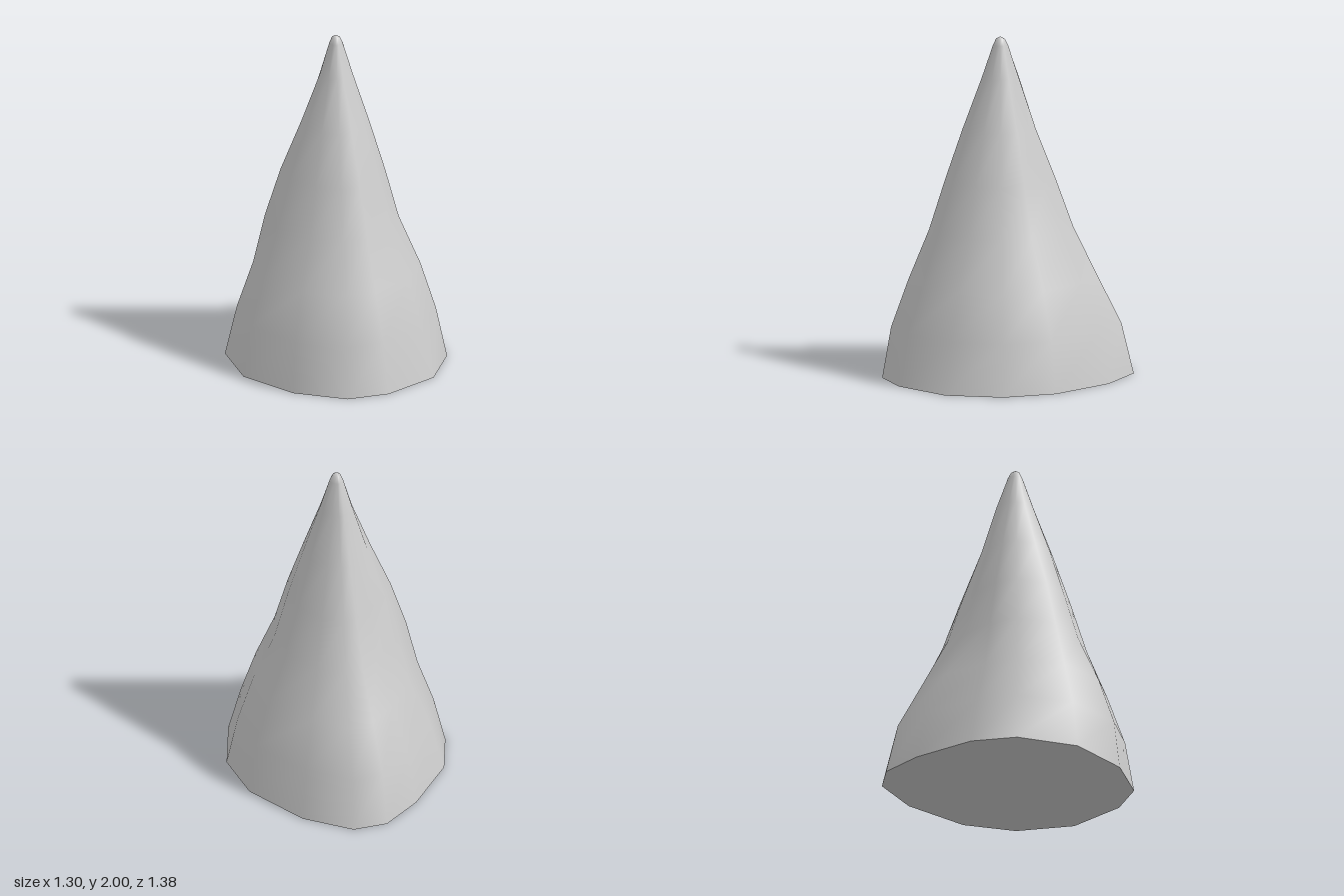
import * as THREE from 'three';

// Base outline (x, z), going round from +x towards +z
const BASE = [
  [0.65, 0.17], [0.5, 0.5], [0.31, 0.66], [-0.02, 0.69], [-0.38, 0.56], [-0.61, 0.27], [-0.65, 0],
  [-0.55, -0.37], [-0.42, -0.605], [-0.24, -0.695], [0.07, -0.64], [0.42, -0.43], [0.6, -0.17],
];

// Reach of each ring in these directions (degrees from +x towards +z)
const ANGLES = [0, 40, 90, 145, 180, 220, 270, 325];
const RINGS = [
  [0, [0.65, 0.695, 0.69, 0.655, 0.65, 0.715, 0.69, 0.59]],
  [0.3, [0.565, 0.63, 0.655, 0.595, 0.565, 0.65, 0.62, 0.55]],
  [0.58, [0.48, 0.53, 0.56, 0.515, 0.445, 0.5, 0.5, 0.455]],
  [0.87, [0.355, 0.43, 0.43, 0.45, 0.38, 0.345, 0.38, 0.33]],
  [1.16, [0.28, 0.338, 0.345, 0.356, 0.3, 0.265, 0.27, 0.25]],
  [1.46, [0.185, 0.23, 0.255, 0.23, 0.2, 0.17, 0.15, 0.165]],
  [1.76, [0.085, 0.12, 0.15, 0.117, 0.105, 0.09, 0.05, 0.07]],
  [1.95, [0.03, 0.06, 0.085, 0.07, 0.045, 0.02, 0, 0.01]],
];
const TIP = [-0.01, 0.045];

// Interpolate a value given per direction
function around(values, deg) {
  const n = ANGLES.length;
  let k = n - 1;
  while (ANGLES[k] > deg) k--;
  const next = k + 1 < n ? ANGLES[k + 1] : 360;
  const t = (deg - ANGLES[k]) / (next - ANGLES[k]);
  return values[k] * (1 - t) + values[(k + 1) % n] * t;
}

// One ring: the base outline scaled per direction about a drifting centre
function ring([y, reach]) {
  const cx = TIP[0] * y / 2, cz = TIP[1] * y / 2;
  const factors = reach.map((r, k) => {
    const a = THREE.MathUtils.degToRad(ANGLES[k]);
    return (r - cx * Math.cos(a) - cz * Math.sin(a)) / RINGS[0][1][k];
  });
  return BASE.map(([x, z]) => {
    const deg = (THREE.MathUtils.radToDeg(Math.atan2(z, x)) + 360) % 360;
    const f = around(factors, deg);
    return [cx + x * f, y, cz + z * f];
  });
}

function mesh(name, points, index) {
  const geometry = new THREE.BufferGeometry();
  geometry.setAttribute('position', new THREE.Float32BufferAttribute(points.flat(), 3));
  geometry.setIndex(index);
  geometry.computeVertexNormals();
  const result = new THREE.Mesh(geometry, new THREE.MeshStandardMaterial({ color: 0xcccccc }));
  result.name = name;
  return result;
}

export function createModel() {
  const group = new THREE.Group();
  group.name = 'rockSpike';
  const n = BASE.length;
  const rings = RINGS.map(ring);

  // Rounded tip: the last ring drawn in towards the top
  const last = rings[rings.length - 1];
  rings.push(last.map(([x, , z]) => [
    TIP[0] + (x - TIP[0]) * 0.6, 1.985, TIP[1] + (z - TIP[1]) * 0.6,
  ]));

  // Sloping side
  const points = [...rings.flat(), [TIP[0], 2, TIP[1]]];
  const index = [];
  for (let j = 0; j < rings.length; j++) {
    for (let i = 0; i < n; i++) {
      const a = j * n + i, b = j * n + (i + 1) % n;
      if (j === rings.length - 1) index.push(a, points.length - 1, b);
      else index.push(a, a + n, b, b, a + n, b + n);
    }
  }
  group.add(mesh('spike', points, index));

  // Flat underside
  const fan = [];
  for (let i = 0; i < n; i++) fan.push(n, i, (i + 1) % n);
  group.add(mesh('underside', [...rings[0], [0, 0, 0]], fan));
  return group;
}
